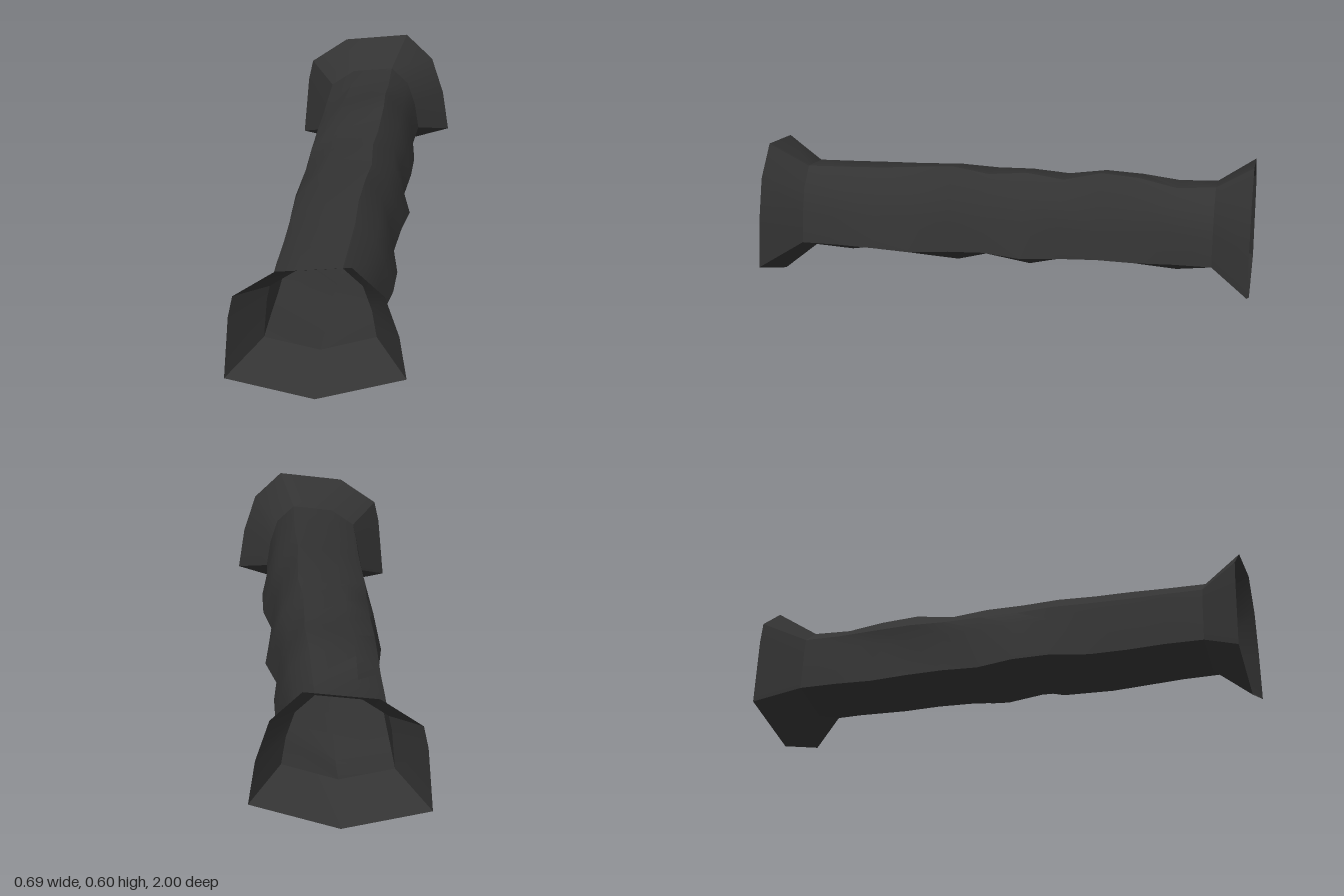
import * as THREE from 'three';
import { toCreasedNormals } from 'three/addons/utils/BufferGeometryUtils.js';

// Mouth outline, counter-clockwise seen from the front
const OUTLINE = [
  [-0.345, 0.065], [0, 0], [0.345, 0.125], [0.315, 0.315], [0.26, 0.485],
  [0.14, 0.6], [-0.14, 0.56], [-0.3, 0.44], [-0.32, 0.345],
];
const STEPS = 11, HALF = 0.85, SCALE = 0.625, LIFT = 0.122;

// Main bumps (hundredths) along the passage, front to back
const FLOOR = [0, -1.5, 1, -1, -3.2, 0.8, -3.2, 0.3, 0.3, 0.8, -1.7, 0];
const ROOF = [0, 0.5, 1, 2, 3.3, 1, 2, 0, 3.8, 2.3, -1.2, 0];
const RIGHT = [0, 0.5, 3, 3, 0, 1.5, 3.5, -0.5, 1, 1, -1, 0];

// How far corner i is pushed [x, y] at step s: sides, floor and roof fade into each other
function bump(i, s) {
  const ends = Math.sin((Math.PI * s) / STEPS);
  const wobble = 0.8 * ends * Math.sin(s * 1.9 + i * 2.3);
  const leftBulge = 0.5 - 4 * Math.exp(-(((s - 4.8) / 1.2) ** 2));
  const leftDent = 4 * Math.exp(-(((s - 8.6) / 1.1) ** 2));
  if (i === 0) return [leftBulge * ends, wobble];
  if (i === 1) return [0, FLOOR[s]];
  if (i === 2) return [RIGHT[s], wobble];
  if (i === 3) return [RIGHT[s] * 0.6, 0];
  if (i === 4) return [RIGHT[s] * 0.4, ROOF[s] * 0.4];
  if (i === 5) return [ends + wobble, ROOF[s]];
  if (i === 6) return [wobble, ROOF[s] * 0.5];
  if (i === 7) return [wobble * 0.5, ROOF[s] * 0.2];
  return [leftBulge * 0.4 * ends + leftDent * ends, 0];
}

// Cross-sections: flared mouth, rough passage, flared mouth
function buildRings() {
  const mouth = (z) => OUTLINE.map(([x, y]) => [x, y, z]);
  const rings = [mouth(1)];
  for (let s = 0; s <= STEPS; s++) {
    const z = HALF - (2 * HALF * s) / STEPS;
    rings.push(OUTLINE.map(([x, y], i) => {
      const [dx, dy] = bump(i, s);
      return [x * SCALE + dx / 100, LIFT + y * SCALE + dy / 100, z];
    }));
  }
  rings.push(mouth(-1));
  return rings;
}

// Skin a run of rings as an open shell
function loft(rings) {
  const n = rings[0].length, index = [];
  for (let r = 0; r < rings.length - 1; r++) {
    for (let i = 0; i < n; i++) {
      const j = (i + 1) % n;
      const a = r * n + i, b = r * n + j, c = a + n, d = b + n;
      index.push(a, c, b, b, c, d);
    }
  }
  const geometry = new THREE.BufferGeometry();
  geometry.setAttribute('position', new THREE.Float32BufferAttribute(rings.flat(2), 3));
  geometry.setIndex(index);
  return toCreasedNormals(geometry, 0.57);
}

export function createModel() {
  const model = new THREE.Group();
  model.name = 'rockTunnel';
  const rock = new THREE.MeshStandardMaterial({ color: 0x333333, side: THREE.DoubleSide });
  rock.name = 'darkRock';

  const rings = buildRings();
  const parts = {
    frontMouth: rings.slice(0, 2),
    passage: rings.slice(1, -1),
    backMouth: rings.slice(-2),
  };
  for (const [name, run] of Object.entries(parts)) {
    const mesh = new THREE.Mesh(loft(run), rock);
    mesh.name = name;
    model.add(mesh);
  }
  return model;
}
